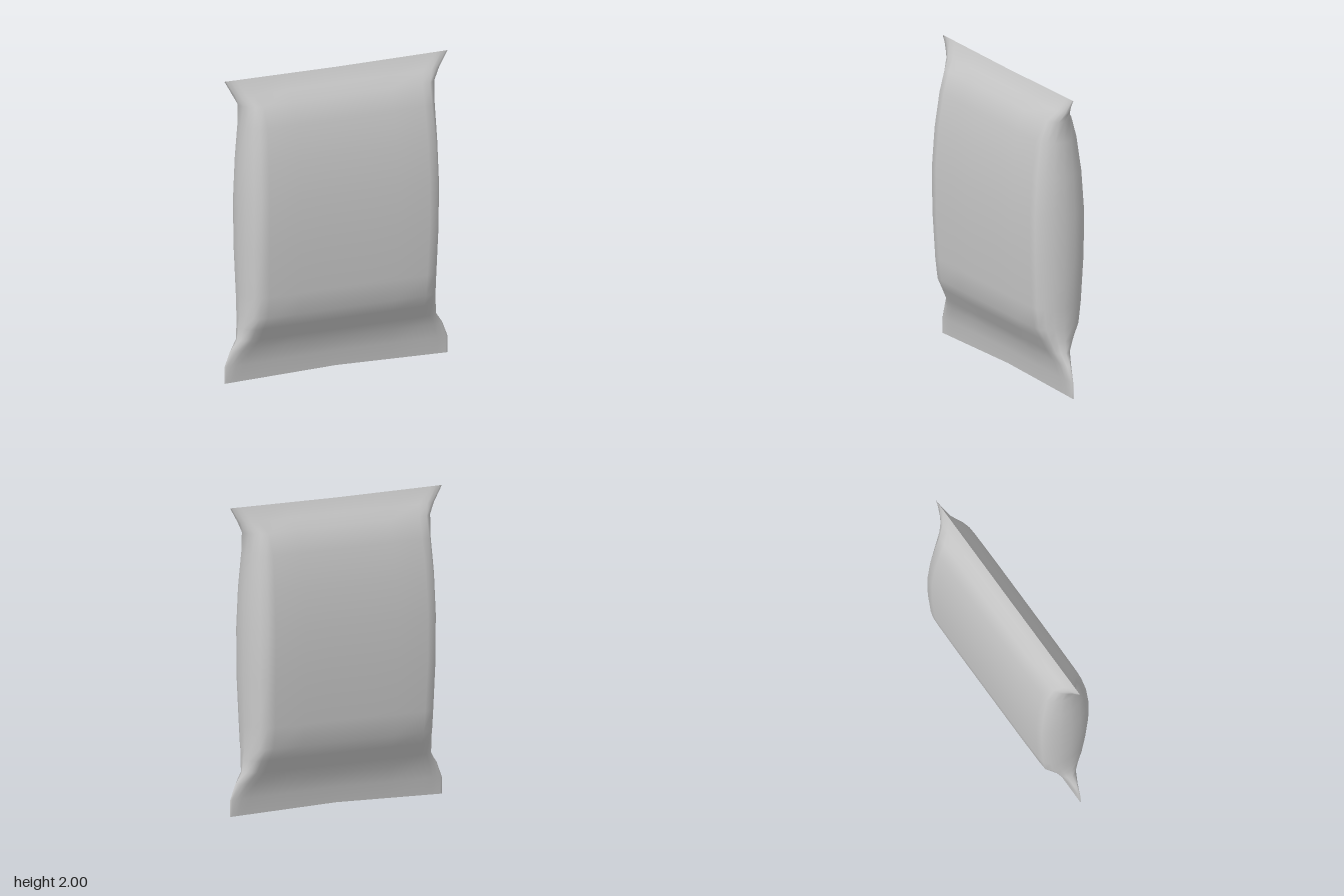
import * as THREE from 'three';

// Pouch profile from bottom seal to top seal: [height, half width, half depth]
const ROWS = [
  [0, 0.81, 0], [0.11, 0.81, 0.013], [0.21, 0.77, 0.035], [0.28, 0.72, 0.07],
  [0.36, 0.71, 0.11], [0.44, 0.70, 0.152], [0.58, 0.70, 0.17], [0.9, 0.71, 0.187],
  [1.2, 0.71, 0.19], [1.46, 0.705, 0.172], [1.69, 0.695, 0.14], [1.83, 0.705, 0.095],
  [1.9, 0.75, 0.04], [2, 0.81, 0],
];

// Quarter cross-section from the side fold to the middle of the front:
// [fraction of half width, fraction of half depth]
const QUARTER = [[1, 0], [0.985, 0.42], [0.945, 0.74], [0.9, 0.96], [0.82, 0.985], [0.5, 1], [0.25, 1], [0, 1]];

// Mirror the quarter into a full closed ring
function fullRing() {
  const half = [...QUARTER, ...QUARTER.slice(0, -1).reverse().map(([x, z]) => [-x, z])];
  return [...half, ...half.slice(1, -1).reverse().map(([x, z]) => [x, -z])];
}

function pouchGeometry() {
  const ring = fullRing();
  const n = ring.length;
  const position = [];
  const index = [];
  ROWS.forEach(([y, w, d], r) => {
    for (const [fx, fz] of ring) {
      // The bottom edge bows upward and the top edge sags slightly at the middle
      const bow = 1 - Math.abs(fx);
      const lift = 0.02 * bow * Math.max(0, 1 - y / 0.3) - (y === 2 ? 0.005 * bow : 0);
      position.push(fx * w, y + lift, fz * d);
    }
    if (r === 0) return;
    for (let i = 0; i < n; i++) {
      const a = (r - 1) * n + i;
      const b = (r - 1) * n + (i + 1) % n;
      index.push(a, a + n, b, b, a + n, b + n);
    }
  });
  const geometry = new THREE.BufferGeometry();
  geometry.setAttribute('position', new THREE.Float32BufferAttribute(position, 3));
  geometry.setIndex(index);
  geometry.computeVertexNormals();
  return geometry;
}

export function createModel() {
  const group = new THREE.Group();
  group.name = 'sealedPouch';
  const material = new THREE.MeshStandardMaterial({ color: 0xcccccc, side: THREE.DoubleSide });
  const pouch = new THREE.Mesh(pouchGeometry(), material);
  pouch.name = 'pouchBody';
  group.add(pouch);
  return group;
}
